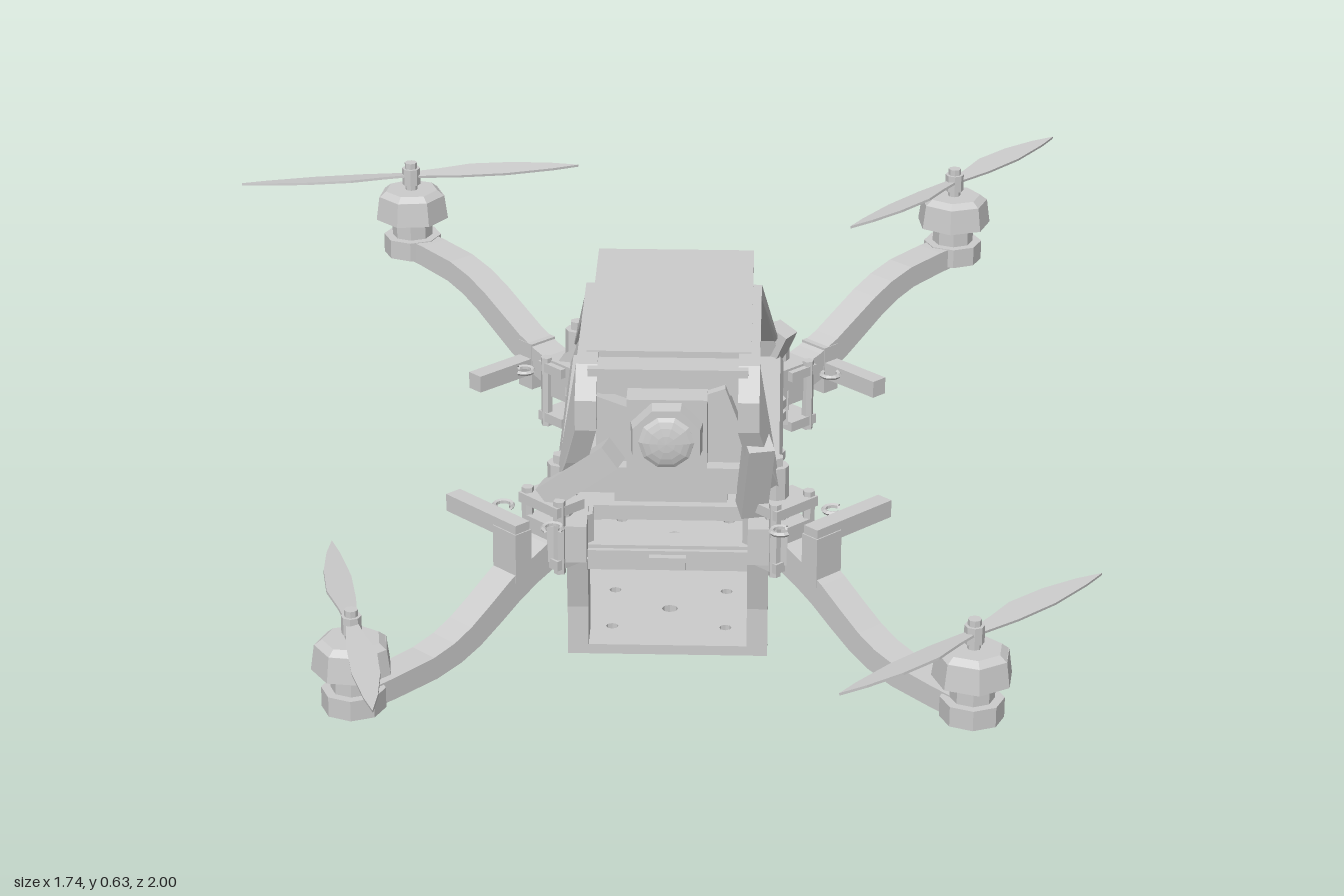
import * as THREE from 'three';

const mat = new THREE.MeshStandardMaterial({ color: 0xcccccc, flatShading: true, side: THREE.DoubleSide });

function add(parent, name, geo, x = 0, y = 0, z = 0) {
  const m = new THREE.Mesh(geo, mat);
  m.name = name;
  m.position.set(x, y, z);
  parent.add(m);
  return m;
}
const box = (w, h, d) => new THREE.BoxGeometry(w, h, d);
const cyl = (r, h, n = 8, r2 = r) => new THREE.CylinderGeometry(r, r2, h, n);
const pts = (a) => a.map(([x, y]) => new THREE.Vector2(x, y));

// Extrusion centred on its depth
function slab(outline, depth, holes = []) {
  const shape = new THREE.Shape(pts(outline));
  holes.forEach((h) => shape.holes.push(new THREE.Path(pts(h))));
  return new THREE.ExtrudeGeometry(shape, { depth, bevelEnabled: false }).translate(0, 0, -depth / 2);
}
// Outline in (z, y), thickness along x
const sidePanel = (o, w, holes) => slab(o, w, holes).rotateY(-Math.PI / 2);
// Outline in (x, z), thickness along y
const plate = (o, h, holes) => slab(o, h, holes).rotateX(Math.PI / 2);
const rect = (x0, x1, z0, z1) => [[x0, z0], [x1, z0], [x1, z1], [x0, z1]];
const ring = (x, z, r, n = 8) => Array.from({ length: n }, (_, i) =>
  [x + r * Math.cos(i * 2 * Math.PI / n), z + r * Math.sin(i * 2 * Math.PI / n)]);

// Square bar between two points
function bar(parent, name, a, b, w) {
  const p = new THREE.Vector3(...a), q = new THREE.Vector3(...b);
  const m = add(parent, name, box(w, w, p.distanceTo(q)));
  m.position.copy(p).lerp(q, 0.5);
  m.lookAt(q);
  return m;
}

function propeller(angle) {
  const g = new THREE.Group();
  g.name = 'propeller';
  const blade = [[0, -0.01], [0.06, -0.018], [0.13, -0.032], [0.22, -0.028], [0.3, -0.014], [0.355, 0.002],
    [0.3, 0.012], [0.2, 0.022], [0.1, 0.02], [0, 0.01]];
  for (const turn of [0, Math.PI]) {
    const holder = new THREE.Group();
    holder.rotation.y = turn;
    add(holder, 'blade', plate(blade, 0.005).rotateX(0.12));
    g.add(holder);
  }
  g.rotation.y = angle;
  return g;
}

function motor(angle) {
  const g = new THREE.Group();
  g.name = 'motor';
  add(g, 'motorFoot', cyl(0.06, 0.04, 8), 0, 0, 0);
  add(g, 'motorStator', cyl(0.042, 0.05, 8), 0, 0.035, 0);
  add(g, 'motorBell', cyl(0.07, 0.05, 7, 0.077), 0, 0.085, 0);
  add(g, 'motorCap', cyl(0.055, 0.012, 7, 0.07), 0, 0.115, 0);
  add(g, 'motorShaft', cyl(0.013, 0.07, 8), 0, 0.145, 0);
  add(g, 'propellerHub', cyl(0.019, 0.035, 8), 0, 0.15, 0);
  const p = propeller(angle);
  p.position.y = 0.152;
  g.add(p);
  return g;
}

// S-curved arm running outward along local x, with its motor and side stub
function arm(sx, sz, angle) {
  const g = new THREE.Group();
  g.name = sz > 0 ? 'frontArm' : 'backArm';
  const path = sz > 0
    ? [[-0.03, 0.245], [0.06, 0.228], [0.15, 0.185], [0.25, 0.122], [0.35, 0.09], [0.53, 0.08]]
    : [[-0.03, 0.29], [0.06, 0.3], [0.16, 0.336], [0.27, 0.4], [0.37, 0.437], [0.53, 0.45]];
  const curve = new THREE.SplineCurve(pts(path));
  const top = [], bottom = [];
  for (let i = 0; i <= 10; i++) {
    const p = curve.getPoint(i / 10), t = curve.getTangent(i / 10), h = 0.031 - i * 0.001;
    top.push([p.x - t.y * h, p.y + t.x * h]);
    bottom.unshift([p.x + t.y * h, p.y - t.x * h]);
  }
  add(g, 'armBeam', slab([...top, ...bottom], 0.062));
  const m = motor(angle - Math.atan2(-sz, sx));
  m.position.set(0.523, sz > 0 ? 0.08 : 0.45, 0);
  g.add(m);

  // Side stub
  const side = -sx * sz;
  add(g, 'sideStub', box(0.035, 0.035, 0.2), 0.13, 0.3, side * 0.07);
  add(g, 'stubPost', box(0.04, 0.1, 0.065), 0.13, sz > 0 ? 0.25 : 0.3, 0);

  // Hinge knuckle
  add(g, 'knuckle', box(0.1, 0.08, 0.085), 0.01, sz > 0 ? 0.25 : 0.3, 0);
  add(g, 'knuckleFork', box(0.07, 0.02, 0.11), 0.03, 0.215, 0);
  add(g, 'knuckleFork', box(0.07, 0.02, 0.11), 0.03, 0.325, 0);
  for (const k of [-1, 1]) {
    add(g, 'clampBolt', cyl(0.012, 0.15, 6), 0.05, 0.27, k * 0.045);
    const hook = add(g, 'wireHook', new THREE.TorusGeometry(0.018, 0.005, 5, 10, 4.6), 0.09, 0.31, k * 0.07);
    hook.rotation.x = Math.PI / 2;
  }
  g.position.set(sx * 0.2, 0, sz > 0 ? 0.28 : -0.35);
  g.rotation.y = Math.atan2(-sz, sx);
  return g;
}

export function createModel() {
  const model = new THREE.Group();
  model.name = 'quadcopter';
  const body = new THREE.Group();
  body.name = 'body';
  body.position.x = 0.046;
  model.add(body);

  // Battery and top cover
  add(body, 'battery', box(0.28, 0.235, 0.5), 0, 0.482, -0.03);
  add(body, 'topCover', box(0.31, 0.02, 0.53), 0, 0.602, -0.015);
  add(body, 'frontHoodBar', box(0.3, 0.05, 0.06), 0, 0.583, 0.3);

  // Roll hoops, leaning outward toward the base
  const hoop = [[-0.39, 0.34], [-0.38, 0.4], [-0.15, 0.59], [-0.1, 0.61], [0.31, 0.61], [0.37, 0.56],
    [0.37, 0.5], [0.34, 0.42], [0.3, 0.34]];
  const windowHole = [[0.24, 0.36], [0.27, 0.42], [0.295, 0.5], [0.28, 0.56], [0.24, 0.583], [-0.11, 0.583],
    [-0.16, 0.555], [-0.32, 0.4], [-0.33, 0.36]];
  // Lower legs
  const frontLeg = [[0.3, 0], [0.3, 0.1], [0.325, 0.21], [0.25, 0.21], [0.23, 0.12], [0.21, 0.08], [0.23, 0]];
  const backLeg = [[-0.355, 0], [-0.355, 0.1], [-0.395, 0.23], [-0.32, 0.23], [-0.27, 0.09], [-0.265, 0]];

  for (const s of [-1, 1]) {
    const geo = sidePanel(hoop, 0.04, [windowHole]);
    const p = geo.attributes.position;
    for (let i = 0; i < p.count; i++) {
      const y = p.getY(i);
      const lean = y > 0.48 ? 0.152 : 0.152 + (0.48 - y) * 0.32;
      p.setX(i, p.getX(i) + s * lean);
    }
    geo.computeVertexNormals();
    add(body, 'sideHoop', geo);
    add(body, 'frontLeg', sidePanel(frontLeg, 0.04), s * 0.172);
    add(body, 'backLeg', sidePanel(backLeg, 0.04), s * 0.172);
    add(body, 'middlePost', box(0.02, 0.12, 0.025), s * 0.165, 0.285, -0.01);
    // Front struts from the hood down to the knuckles
    bar(body, 'frontStrut', [s * 0.125, 0.46, 0.345], [s * 0.205, 0.32, 0.3], 0.05);
    bar(body, 'cameraBrace', [s * 0.07, 0.5, 0.33], [s * 0.14, 0.56, 0.33], 0.04);
    bar(body, 'rearStrut', [s * 0.17, 0.42, -0.34], [s * 0.21, 0.29, -0.37], 0.045);
    for (const z of [0.29, -0.375]) {
      add(body, 'hingePin', cyl(0.024, 0.2, 8), s * 0.205, 0.3, z);
      add(body, 'hingePinHead', cyl(0.014, 0.02, 6), s * 0.205, 0.407, z);
      add(body, 'hingeBlock', box(0.075, 0.075, 0.1), s * 0.19, 0.255, z + 0.01);
    }
    // Damped standoffs between the plates
    for (const z of [0.19, -0.25]) {
      add(body, 'standoff', cyl(0.011, 0.14, 8), s * 0.2, 0.235, z);
      for (const y of [0.18, 0.268, 0.295]) add(body, 'standoffCollar', cyl(0.023, 0.018, 8), s * 0.2, y, z);
    }
  }

  // Decks: open middle frame, lower deck, drilled base
  add(body, 'middleDeck', plate(rect(-0.2, 0.2, -0.39, 0.29), 0.025,
    [rect(-0.14, 0.14, -0.33, -0.04), rect(-0.14, 0.14, 0, 0.23)]), 0, 0.35, 0);
  add(body, 'lowerDeck', plate(rect(-0.195, 0.195, -0.39, 0.3), 0.03,
    [rect(-0.15, 0.15, -0.33, -0.15), rect(-0.15, 0.15, 0.12, 0.24)]), 0, 0.217, 0);
  const drill = [];
  for (const x of [-0.11, 0.11]) for (const z of [-0.27, -0.12, 0.06, 0.22]) drill.push(ring(x, z, 0.012));
  for (const z of [-0.2, 0.14]) drill.push(ring(0, z, 0.016));
  add(body, 'basePlate', plate(rect(-0.19, 0.19, -0.355, 0.3), 0.02, drill), 0, 0.01, 0);
  add(body, 'electronicsBox', box(0.22, 0.07, 0.22), 0, 0.267, -0.01);
  add(body, 'frontCrossbar', box(0.32, 0.04, 0.03), 0, 0.205, 0.295);
  add(body, 'frontCrossbarTab', box(0.07, 0.025, 0.02), 0, 0.205, 0.315);
  add(body, 'rearCrossbar', box(0.34, 0.04, 0.03), 0, 0.375, -0.385);
  add(body, 'frontDeckBar', box(0.34, 0.05, 0.03), 0, 0.365, 0.275);

  // Front camera
  const camera = new THREE.Group();
  camera.name = 'camera';
  camera.position.set(0, 0.498, 0.35);
  body.add(camera);
  add(camera, 'cameraHousing', box(0.15, 0.145, 0.09), 0, 0, -0.01);
  add(camera, 'cameraBezel', cyl(0.068, 0.04, 8, 0.074).rotateY(Math.PI / 8).rotateX(Math.PI / 2), 0, 0, 0.045);
  add(camera, 'cameraLens', new THREE.SphereGeometry(0.055, 10, 5, 0, Math.PI * 2, 0, Math.PI / 2)
    .scale(1, 0.3, 1).rotateX(Math.PI / 2), 0, 0, 0.06);

  // Rear antenna with a faceted tip
  add(body, 'antennaRod', cyl(0.009, 0.17, 6).rotateX(Math.PI / 2), 0, 0.28, -0.37);
  add(body, 'antennaTip', new THREE.OctahedronGeometry(0.046), 0, 0.28, -0.475);

  // Arms with motors; each propeller stopped at its own angle
  for (const [sx, sz, angle] of [[-1, -1, 0.2], [1, -1, 0.905], [-1, 1, -1.36], [1, 1, 0.8]]) {
    body.add(arm(sx, sz, angle));
  }
  return model;
}
